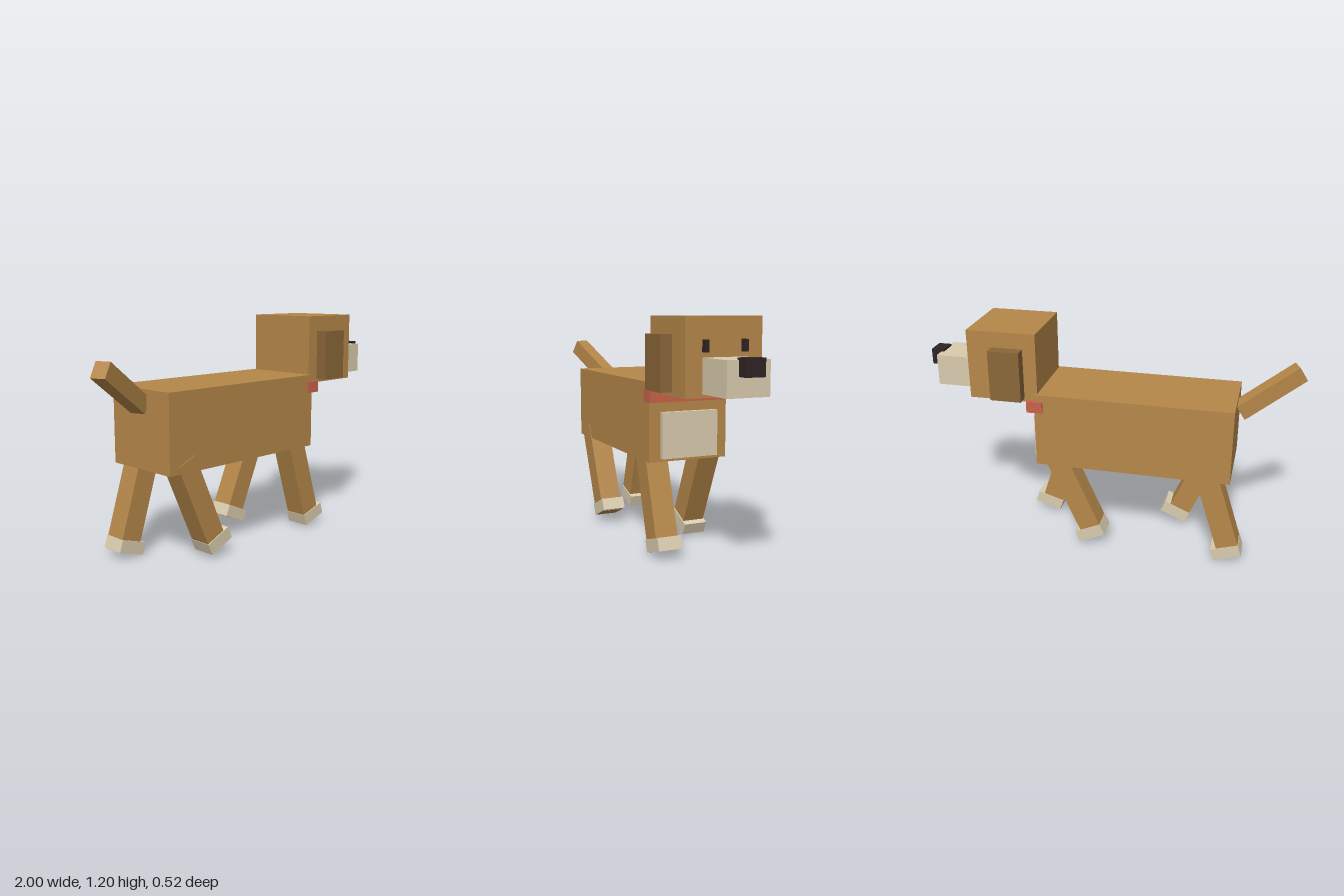
import * as THREE from 'three';

const material = (color) => new THREE.MeshStandardMaterial({ color, flatShading: true });

export function createModel() {
  const dog = new THREE.Group();
  dog.name = 'dog';

  const fur = material(0xb58749);
  const cream = material(0xd9cbae);
  const earFur = material(0x8a6638);
  const dark = material(0x2e2422);
  const red = material(0xc8624a);

  // Box given by its extents along each axis
  function box(name, mat, [x0, x1], [y0, y1], [z0, z1], parent = dog) {
    const mesh = new THREE.Mesh(new THREE.BoxGeometry(x1 - x0, y1 - y0, z1 - z0), mat);
    mesh.position.set((x0 + x1) / 2, (y0 + y1) / 2, (z0 + z1) / 2);
    mesh.name = name;
    parent.add(mesh);
    return mesh;
  }

  // Torso, turned very slightly
  const body = box('body', fur, [-0.66, 0.373], [0.48, 0.88], [-0.22, 0.21]);
  body.rotation.y = -0.01;
  box('chestPatch', cream, [0.34, 0.4], [0.497, 0.73], [-0.153, 0.153]);
  box('collar', red, [0.33, 0.415], [0.782, 0.843], [-0.226, 0.226]);

  // Head
  const head = new THREE.Group();
  head.name = 'head';
  dog.add(head);
  box('skull', fur, [0.36, 0.727], [0.832, 1.2], [-0.2, 0.2], head);
  box('muzzle', cream, [0.7, 0.945], [0.85, 1.015], [-0.107, 0.112], head);
  box('nose', dark, [0.93, 1.0], [0.942, 1.025], [-0.047, 0.053], head);
  for (const [label, s] of [['left', 1], ['right', -1]]) {
    const ear = box(label + 'Ear', earFur, [0.43, 0.595], [0.85, 1.117], [-0.035, 0.035], head);
    ear.position.z = s * 0.226;
    const eye = box(label + 'Eye', dark, [0.71, 0.757], [1.039, 1.096], [-0.01, 0.01], head);
    eye.position.z = 0.002 + s * 0.102;
  }

  // Tail, raised and swung to one side
  const tail = box('tail', fur, [-0.187, 0.187], [-0.043, 0.043], [-0.04, 0.04]);
  tail.position.set(-0.815, 0.9, 0.05);
  tail.rotation.set(0, 0.33, -0.57);

  // Legs in mid-stride: [name, sole x, sole y, z, swing]
  const legs = [
    ['frontLeftLeg', 0.4175, 0.0375, 0.15, 17.5],
    ['frontRightLeg', 0.073, 0.048, -0.155, -24],
    ['hindLeftLeg', -0.33, 0.06, 0.15, 24],
    ['hindRightLeg', -0.672, 0.0275, -0.157, -17.5],
  ];
  for (const [name, x, y, z, swing] of legs) {
    const leg = new THREE.Group();
    leg.name = name;
    leg.position.set(x, y, z);
    leg.rotation.z = THREE.MathUtils.degToRad(swing);
    box('shank', fur, [-0.074, 0.044], [-0.001, 0.53], [-0.06, 0.06], leg);
    box('paw', cream, [-0.076, 0.076], [0, 0.066], [-0.065, 0.065], leg);
    dog.add(leg);
  }

  return dog;
}
